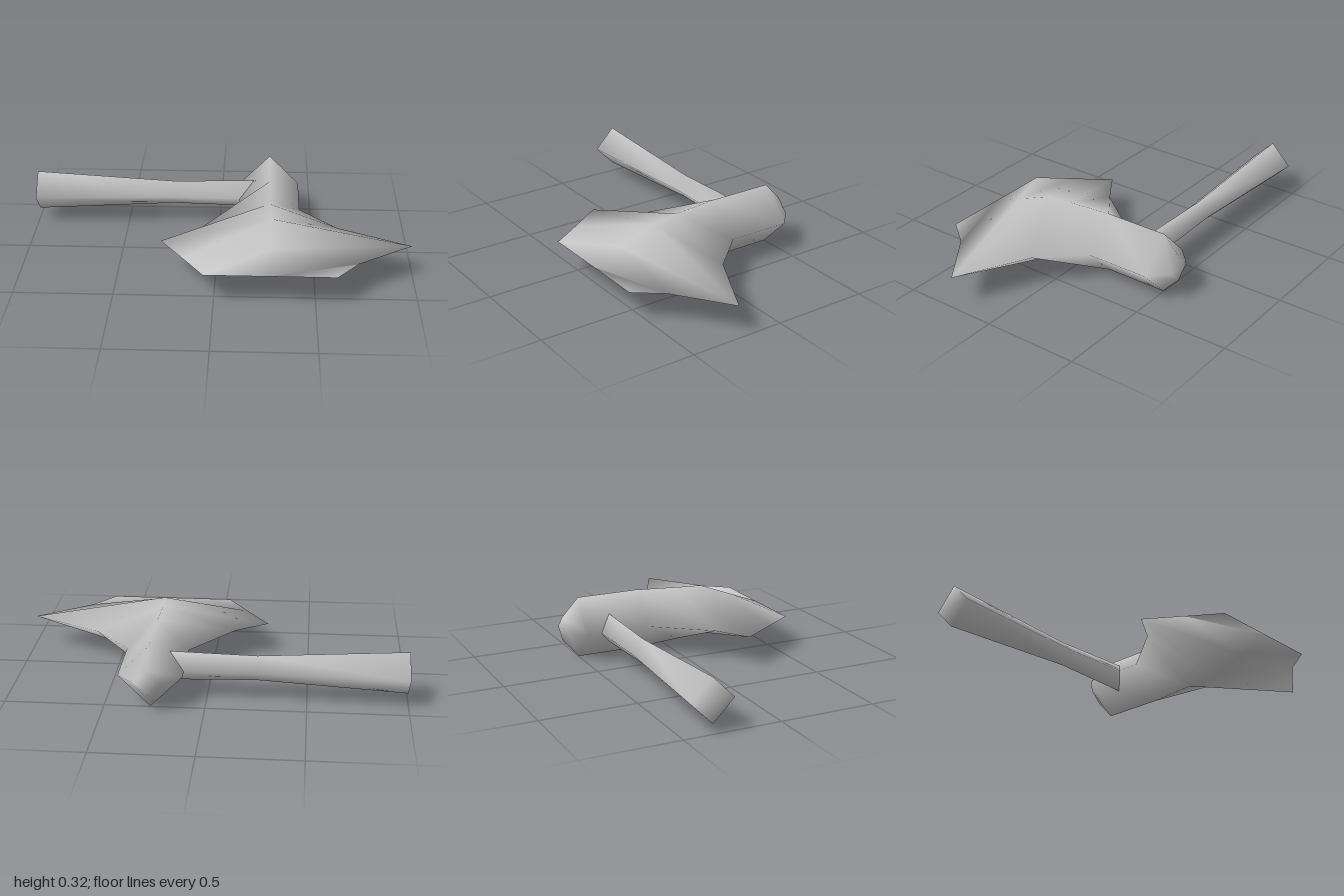
import * as THREE from 'three';
import { mergeVertices } from 'three/addons/utils/BufferGeometryUtils.js';

const MID = 0.163; // height of the symmetry plane

// Skin a row of four-cornered rings, cap both ends, weld and smooth
function loft(rings) {
  const index = [];
  rings.slice(1).forEach((_, i) => {
    for (let k = 0; k < 4; k++) {
      const a = i * 4 + k, b = i * 4 + (k + 1) % 4;
      index.push(a, a + 4, b, b, a + 4, b + 4);
    }
  });
  const e = (rings.length - 1) * 4;
  index.push(0, 1, 2, 0, 2, 3, e, e + 2, e + 1, e, e + 3, e + 2);
  let g = new THREE.BufferGeometry();
  g.setAttribute('position', new THREE.Float32BufferAttribute(rings.flat(2), 3));
  g.setIndex(index);
  g = mergeVertices(g, 1e-4);
  // drop triangles flattened by the weld
  const idx = g.index.array, kept = [];
  for (let i = 0; i < idx.length; i += 3) {
    const [a, b, c] = [idx[i], idx[i + 1], idx[i + 2]];
    if (a !== b && b !== c && c !== a) kept.push(a, b, c);
  }
  g.setIndex(kept);
  g.computeVertexNormals();
  return g;
}

export function createModel() {
  const model = new THREE.Group();
  model.name = 'axe';
  const grey = new THREE.MeshStandardMaterial({ color: 0xc4c4c4 });
  grey.name = 'plain grey';

  const add = (name, rings) => {
    const mesh = new THREE.Mesh(loft(rings), grey);
    mesh.name = name;
    model.add(mesh);
  };

  // Head: blunt poll, diamond neck, flaring into a sharp blade
  // right corner x, z; ridge x, z, half height; left corner x, z
  add('axeHead', [
    [0.205, -0.585, 0.27, -0.585, 0.065, 0.335, -0.585],
    [0.11, -0.495, 0.27, -0.495, 0.162, 0.43, -0.495],
    [0.11, -0.16, 0.27, -0.16, 0.162, 0.43, -0.16],
    [-0.11, 0.12, 0.27, 0.08, 0.146, 0.62, 0.05],
    [-0.28, 0.23, 0.28, 0.23, 0.135, 0.99, 0.24],
    [-0.16, 0.41, 0.28, 0.42, 0.062, 0.71, 0.44],
    [-0.05, 0.58, 0.28, 0.58, 0, 0.6, 0.58],
  ].map(([rx, rz, tx, tz, h, lx, lz]) => [
    [rx, MID, rz], [tx, MID + h, tz], [lx, MID, lz], [tx, MID - h, tz],
  ]));

  // Handle: diamond section, thicker at the grip end
  const z = -0.355;
  add('handle', [[-1, 0.111], [-0.25, 0.066], [0.24, 0.078]].map(([x, r]) => [
    [x, MID, z + r], [x, MID + r, z], [x, MID, z - r], [x, MID - r, z],
  ]));

  return model;
}
